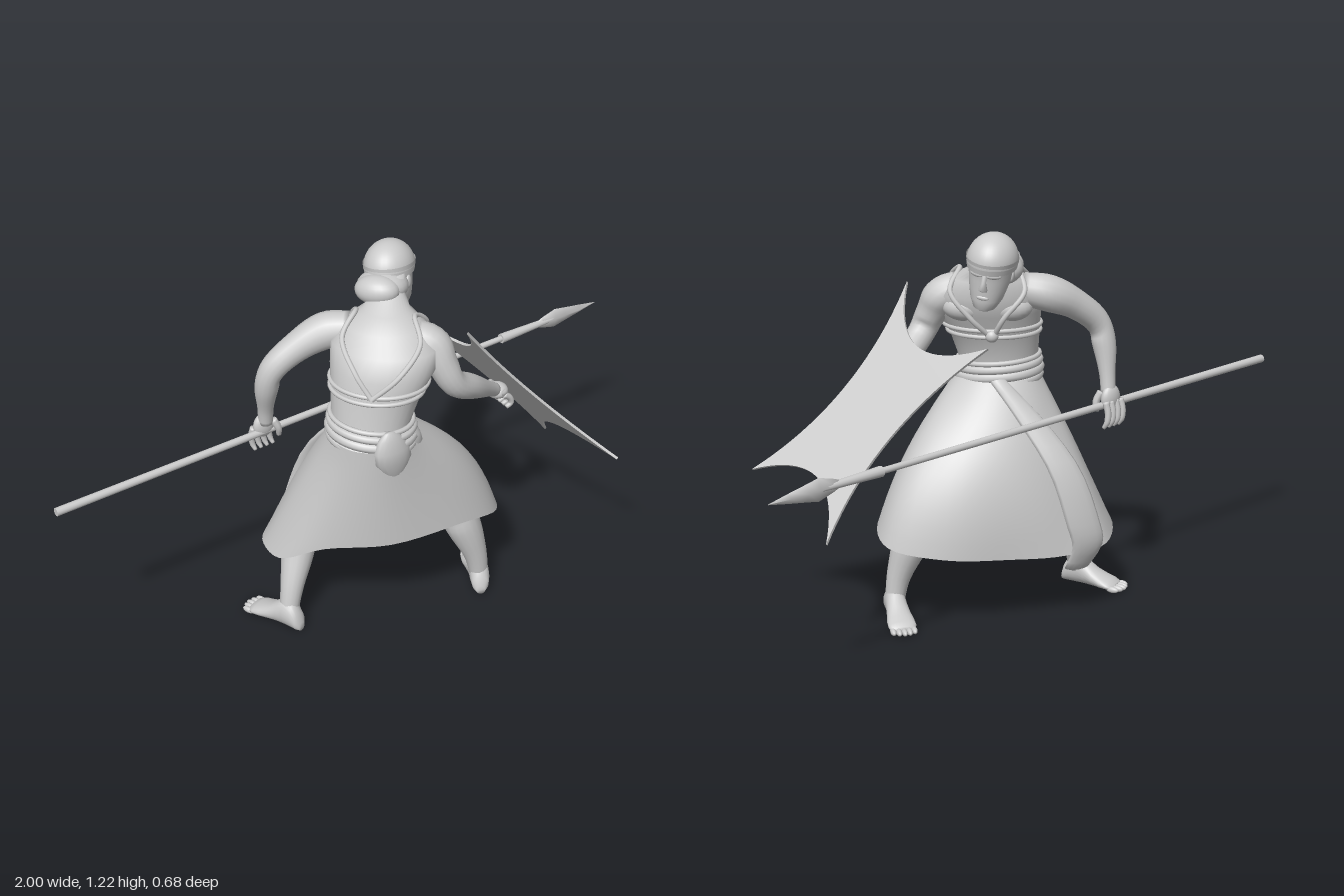
import * as THREE from 'three';

const V = (x, y, z) => new THREE.Vector3(x, y, z);
const mat = new THREE.MeshStandardMaterial({ color: 0xcccccc });
const clothMat = new THREE.MeshStandardMaterial({ color: 0xcccccc, side: THREE.DoubleSide });
const S = Math.SQRT1_2;
const FORWARD = V(S, 0, -S), SIDE = V(-S, 0, -S); // the body is twisted towards +x / -z

function add(parent, name, geometry, material = mat) {
  const mesh = new THREE.Mesh(geometry, material);
  mesh.name = name;
  parent.add(mesh);
  return mesh;
}

// Skin a series of closed rings of points
function loft(rings, caps = true) {
  const n = rings[0].length, index = [];
  const pts = rings.flat();
  for (let i = 0; i < rings.length - 1; i++) for (let j = 0; j < n; j++) {
    const a = i * n + j, b = i * n + (j + 1) % n;
    index.push(a, b, b + n, a, b + n, a + n);
  }
  if (caps) [0, rings.length - 1].forEach((r) => {
    const mid = rings[r].reduce((s, p) => s.add(p), V(0, 0, 0)).divideScalar(n);
    const c = pts.push(mid) - 1;
    for (let j = 0; j < n; j++) {
      const a = r * n + j, b = r * n + (j + 1) % n;
      r ? index.push(c, a, b) : index.push(c, b, a);
    }
  });
  const g = new THREE.BufferGeometry().setFromPoints(pts);
  g.setIndex(index);
  g.computeVertexNormals();
  return g;
}

function ring(c, e1, e2, r1, r2, n = 24) {
  return Array.from({ length: n }, (_, j) => {
    const a = j / n * Math.PI * 2;
    return c.clone().addScaledVector(e1, r1 * Math.cos(a)).addScaledVector(e2, r2 * Math.sin(a));
  });
}

// Tapered limb through [x, y, z, radius] stations
function limb(stations, n = 16) {
  const path = new THREE.CatmullRomCurve3(stations.map((s) => V(s[0], s[1], s[2])));
  const radii = new THREE.SplineCurve(stations.map((s, i) => new THREE.Vector2(i, s[3])));
  const steps = (stations.length - 1) * 5, f = path.computeFrenetFrames(steps);
  const rings = [];
  for (let i = 0; i <= steps; i++) {
    const r = radii.getPoint(i / steps).y;
    rings.push(ring(path.getPoint(i / steps), f.normals[i], f.binormals[i], r, r, n));
  }
  return loft(rings);
}

const tube = (pts, r, closed = false) =>
  new THREE.TubeGeometry(new THREE.CatmullRomCurve3(pts, closed), 48, r, 8, closed);

function ball(parent, name, p, sx, sy, sz) {
  const m = add(parent, name, new THREE.SphereGeometry(1, 24, 16));
  m.position.set(...p);
  m.scale.set(sx, sy, sz);
  return m;
}

// Torso stations: y, centre x, centre z, half width, half depth
const TORSO = [
  [0.66, -0.09, 0.04, 0.12, 0.105], [0.72, -0.09, 0.035, 0.122, 0.105], [0.78, -0.085, 0.03, 0.12, 0.1],
  [0.86, -0.065, 0.025, 0.135, 0.105], [0.94, -0.035, 0.02, 0.158, 0.122], [1.0, -0.015, 0.003, 0.162, 0.115],
  [1.05, -0.005, -0.015, 0.12, 0.088], [1.08, 0.015, -0.035, 0.07, 0.062],
  [1.11, 0.05, -0.075, 0.045, 0.047], [1.15, 0.08, -0.105, 0.042, 0.045]];

function onTorso(angle, y, off = 0.004) {
  const i = TORSO.findIndex((t, k) => k < TORSO.length - 1 && TORSO[k + 1][0] >= y);
  const a = TORSO[i], b = TORSO[i + 1], t = (y - a[0]) / (b[0] - a[0]);
  const m = a.map((v, k) => v + (b[k] - v) * t);
  return V(m[1], y, m[2]).addScaledVector(FORWARD, (m[4] + off) * Math.cos(angle))
    .addScaledVector(SIDE, (m[3] + off) * Math.sin(angle));
}

const torsoLoop = (y, off, tilt = 0) => Array.from({ length: 16 }, (_, i) =>
  onTorso(i * Math.PI / 8, y + tilt * Math.sin(i * Math.PI / 8), off));

function buildHead() {
  const head = new THREE.Group();
  head.name = 'head';
  // y, forward shift, half width, half depth
  const face = [[-0.114, 0.05, 0.018, 0.016], [-0.106, 0.044, 0.033, 0.034], [-0.08, 0.03, 0.048, 0.05],
    [-0.05, 0.019, 0.056, 0.06], [-0.02, 0.008, 0.062, 0.071], [0.005, 0.004, 0.064, 0.074],
    [0.02, 0.003, 0.066, 0.08], [0.06, 0, 0.06, 0.07]];
  add(head, 'face', loft(face.map(([y, w, u, d]) => ring(V(0, y, w), V(0, 0, 1), V(1, 0, 0), d, u))));
  const cap = add(head, 'headCloth', new THREE.SphereGeometry(1, 32, 14, 0, Math.PI * 2, 0, Math.PI / 2), clothMat);
  cap.position.y = 0.022;
  cap.scale.set(0.075, 0.08, 0.088);
  const band = add(head, 'headband', new THREE.CylinderGeometry(0.077, 0.072, 0.034, 32, 1, true), clothMat);
  band.position.y = 0.022;
  band.scale.z = 1.16;
  // Nose: narrow bridge widening to the tip
  const nose = [[-0.047, 0.074, 0.013, 0.009], [-0.04, 0.077, 0.013, 0.016], [-0.02, 0.076, 0.008, 0.011], [0.005, 0.074, 0.007, 0.006]];
  add(head, 'nose', loft(nose.map(([y, w, u, d]) => ring(V(0, y, w), V(0, 0, 1), V(1, 0, 0), d, u, 12))));
  ball(head, 'lips', [0, -0.068, 0.076], 0.018, 0.007, 0.006);
  for (const s of [-1, 1]) {
    ball(head, 'brow', [s * 0.026, 0.001, 0.069], 0.022, 0.008, 0.007).rotation.y = s * 0.4;
    ball(head, 'ear', [s * 0.062, -0.02, -0.005], 0.007, 0.02, 0.014);
  }
  ball(head, 'hair', [0, -0.022, -0.055], 0.078, 0.05, 0.075);
  ball(head, 'hairRoll', [0, -0.022, -0.092], 0.07, 0.045, 0.05);
  head.position.set(0.1, 1.12, -0.14);
  head.rotation.set(0.15, 2.1, -0.13, 'YXZ');
  return head;
}

function buildFoot(heelX, heelZ, toeX, toeZ) {
  const foot = new THREE.Group();
  foot.name = 'foot';
  // distance from heel, half width, height
  const rows = [[-0.004, 0.014, 0.03], [0.006, 0.026, 0.06], [0.025, 0.031, 0.092], [0.055, 0.032, 0.1], [0.08, 0.033, 0.082],
    [0.11, 0.037, 0.058], [0.14, 0.042, 0.042], [0.165, 0.043, 0.032], [0.185, 0.036, 0.022]];
  add(foot, 'sole', loft(rows.map(([t, w, h]) => ring(V(0, 0.006 + h / 2, t), V(1, 0, 0), V(0, 1, 0), w, h / 2))));
  for (let i = 0; i < 5; i++)
    ball(foot, 'toe', [-0.032 + i * 0.016, 0.015, 0.185 + 0.012 * Math.sin(i * 0.75)], 0.009, 0.01, 0.021);
  foot.position.set(heelX, 0, heelZ);
  foot.rotation.y = Math.atan2(toeX - heelX, toeZ - heelZ);
  return foot;
}

function buildSkirt() {
  const skirt = new THREE.Group();
  skirt.name = 'skirt';
  const hem = new THREE.CatmullRomCurve3([
    V(0.372, 0.275, 0.02), V(0.32, 0.31, 0.13), V(0.14, 0.37, 0.185), V(-0.1, 0.375, 0.155), V(-0.26, 0.35, 0.03),
    V(-0.345, 0.27, -0.1), V(-0.33, 0.26, -0.22), V(-0.22, 0.23, -0.31), V(-0.06, 0.225, -0.29),
    V(0.1, 0.235, -0.22), V(0.27, 0.25, -0.12)], true).getPoints(55).slice(0, -1);
  const rings = [];
  for (let k = 0; k <= 10; k++) {
    const t = k / 10;
    rings.push(hem.map((h) => {
      // Cloth billows over the advancing knees and hangs back on the other side
      const a = Math.atan2(h.z + 0.07, h.x), billow = 0.5 + 0.5 * Math.cos(a + Math.PI / 4);
      const top = V(-0.085 + 0.13 * Math.cos(a), 0.73, 0.035 + 0.125 * Math.sin(a));
      const flare = billow * (1 - (1 - t) ** 2.4) + (1 - billow) * t ** 1.5;
      const p = top.clone().lerp(h, flare);
      p.y = top.y + (h.y - top.y) * t;
      return p;
    }));
  }
  add(skirt, 'skirtCloth', loft(rings, false), clothMat);
  for (const [y, r] of [[0.715, 0.013], [0.738, 0.016], [0.762, 0.013], [0.782, 0.008]])
    add(skirt, 'waistWrap', tube(torsoLoop(y, 0.004, 0.01), r, true));
  // Hanging sash: flat band widening down the cloth, then tapering
  const path = new THREE.CatmullRomCurve3([V(0.01, 0.74, -0.07), V(-0.03, 0.635, -0.165), V(-0.075, 0.49, -0.27),
    V(-0.11, 0.33, -0.315), V(-0.13, 0.25, -0.318), V(-0.125, 0.17, -0.278)]);
  const sash = [];
  for (let i = 0; i <= 16; i++) {
    const t = i / 16, tan = path.getTangent(t), e1 = V(0.9, 0, 0.3).normalize();
    const width = 0.025 + 0.03 * Math.sin(t * 2.6);
    sash.push(ring(path.getPoint(t), e1, tan.clone().cross(e1).normalize(), width, 0.014, 12));
  }
  add(skirt, 'hangingSash', loft(sash));
  // Folded cloth tied over the hip, its tail hanging to a blunt point
  const folds = [[-0.075, 0.145, 1, 0.605], [0.0, 0.12, 0.75, 0.64]];
  for (const [x, z, s, y0] of folds) {
    const rows = [[0, 0.015], [0.03, 0.036], [0.08, 0.062], [0.12, 0.06], [0.16, 0.04], [0.18, 0.015]];
    add(skirt, 'hipFold', loft(rows.map(([h, w]) =>
      ring(V(x - h * 0.15, y0 + h * s, z), V(0, 0, 1), V(1, 0, 0), w * 0.5 * s, w * s, 16))));
  }
  return skirt;
}

function buildShield() {
  const shield = new THREE.Group();
  shield.name = 'shield';
  // Unit square with concave edges, mapped to a leaning parallelogram
  const s = new THREE.Shape();
  s.moveTo(0, 0);
  s.quadraticCurveTo(0.45, 0.35, 1, 0);
  s.quadraticCurveTo(0.66, 0.55, 1, 1);
  s.quadraticCurveTo(0.55, 0.67, 0, 1);
  s.quadraticCurveTo(0.38, 0.5, 0, 0);
  const g = new THREE.ExtrudeGeometry(s, { depth: 0.008, bevelEnabled: false, curveSegments: 20 });
  const across = V(0.03, -0.12, -0.385), down = V(0.455, -0.53, 0.185);
  const normal = across.clone().cross(down).normalize();
  g.applyMatrix4(new THREE.Matrix4().makeBasis(across, down, normal).setPosition(0.175, 1.035, 0.15));
  g.computeVertexNormals();
  add(shield, 'shieldPanel', g, clothMat);
  add(shield, 'shieldGrip', tube([V(0.37, 0.73, 0.1), V(0.365, 0.71, 0.085), V(0.375, 0.69, 0.02), V(0.39, 0.69, 0)], 0.008));
  return shield;
}

function buildSpear() {
  const spear = new THREE.Group();
  spear.name = 'spear';
  const shaft = add(spear, 'shaft', new THREE.CylinderGeometry(0.009, 0.013, 1.8, 12));
  shaft.rotation.z = -Math.PI / 2;
  shaft.position.x = -0.1;
  const socket = add(spear, 'socket', new THREE.CylinderGeometry(0.009, 0.016, 0.22, 12));
  socket.rotation.z = -Math.PI / 2;
  socket.position.x = 0.72;
  const rows = [[0.76, 0.012], [0.78, 0.02], [0.83, 0.034], [0.87, 0.026], [0.93, 0.015], [1, 0.001]];
  add(spear, 'spearhead', loft(rows.map(([x, w]) => ring(V(x, 0, 0), V(0, 1, 0), V(0, 0, 1), w, Math.min(w, 0.01), 4))));
  spear.position.set(0, 0.645, -0.242);
  return spear;
}

export function createModel() {
  const model = new THREE.Group();
  model.name = 'spearWarrior';

  add(model, 'torso', loft(TORSO.map(([y, x, z, u, d]) => ring(V(x, y, z), FORWARD, SIDE, d, u, 32))));
  for (const s of [-1, 1]) {
    const chest = ball(model, 'chestMuscle', onTorso(s * 0.55, 0.965, -0.045).toArray(), 0.075, 0.045, 0.052);
    chest.rotation.y = Math.PI * 0.75;
    const over = onTorso(s * 1.6, 1.055, -0.025).setY(1.077);
    add(model, 'shoulderStrap', tube([onTorso(0, 0.87), onTorso(s * 0.3, 0.94, 0.008), onTorso(s * 0.8, 1.02, 0.008),
      over, onTorso(Math.PI - s * 0.9, 1.03, 0.01), onTorso(Math.PI - s * 0.4, 0.96, 0.006), onTorso(Math.PI, 0.89)], 0.008));
  }
  for (const y of [0.872, 0.895]) add(model, 'chestBand', tube(torsoLoop(y, 0.002), 0.007, true));
  ball(model, 'strapKnot', onTorso(0, 0.88, 0.005).toArray(), 0.02, 0.02, 0.02);
  model.add(buildHead(), buildSkirt(), buildShield(), buildSpear());

  // Arm and hand on the spear
  add(model, 'spearArm', limb([[-0.07, 1.015, -0.09, 0.05], [-0.13, 1.0, -0.14, 0.056], [-0.215, 0.955, -0.172, 0.045],
    [-0.287, 0.89, -0.195, 0.039], [-0.297, 0.82, -0.212, 0.036], [-0.292, 0.74, -0.23, 0.025], [-0.288, 0.68, -0.24, 0.023]]));
  ball(model, 'spearPalm', [-0.29, 0.665, -0.248], 0.036, 0.042, 0.02);
  for (let i = 0; i < 4; i++) {
    const x = -0.322 + i * 0.021;
    add(model, 'spearFinger', limb([[x, 0.66, -0.258, 0.01], [x - 0.003, 0.625, -0.266, 0.01], [x, 0.595, -0.265, 0.009], [x + 0.004, 0.578, -0.255, 0.006]], 8));
  }
  add(model, 'spearThumb', limb([[-0.268, 0.685, -0.23, 0.012], [-0.255, 0.655, -0.222, 0.011], [-0.25, 0.625, -0.228, 0.008]], 8));

  // Arm and hand behind the shield
  add(model, 'shieldArm', limb([[0.05, 1.015, 0.05, 0.05], [0.09, 0.992, 0.085, 0.056], [0.108, 0.93, 0.12, 0.046],
    [0.135, 0.868, 0.137, 0.041], [0.21, 0.815, 0.12, 0.039], [0.3, 0.752, 0.085, 0.026], [0.345, 0.72, 0.065, 0.022]]));
  ball(model, 'shieldPalm', [0.365, 0.705, 0.055], 0.034, 0.024, 0.034);
  for (let i = 0; i < 4; i++) {
    const z = 0.025 + i * 0.019;
    add(model, 'shieldFinger', limb([[0.37, 0.7, z, 0.01], [0.395, 0.68, z, 0.01], [0.4, 0.66, z, 0.009], [0.382, 0.65, z, 0.007]], 8));
  }
  add(model, 'shieldThumb', limb([[0.35, 0.715, 0.035, 0.011], [0.37, 0.71, 0.015, 0.01], [0.39, 0.69, 0.012, 0.008]], 8));

  // Wide stance, feet turned out
  add(model, 'shieldSideLeg', limb([[-0.03, 0.63, 0.03, 0.09], [0.09, 0.5, 0.035, 0.08], [0.2, 0.36, 0.05, 0.06],
    [0.235, 0.25, 0.072, 0.057], [0.268, 0.14, 0.095, 0.038], [0.283, 0.05, 0.1, 0.03]]));
  add(model, 'spearSideLeg', limb([[-0.12, 0.63, -0.01, 0.09], [-0.17, 0.5, -0.09, 0.08], [-0.215, 0.37, -0.165, 0.06],
    [-0.25, 0.25, -0.135, 0.054], [-0.3, 0.14, -0.1, 0.037], [-0.325, 0.05, -0.085, 0.03]]));
  model.add(buildFoot(0.26, 0.14, 0.36, -0.04), buildFoot(-0.31, -0.04, -0.38, -0.25));
  return model;
}
